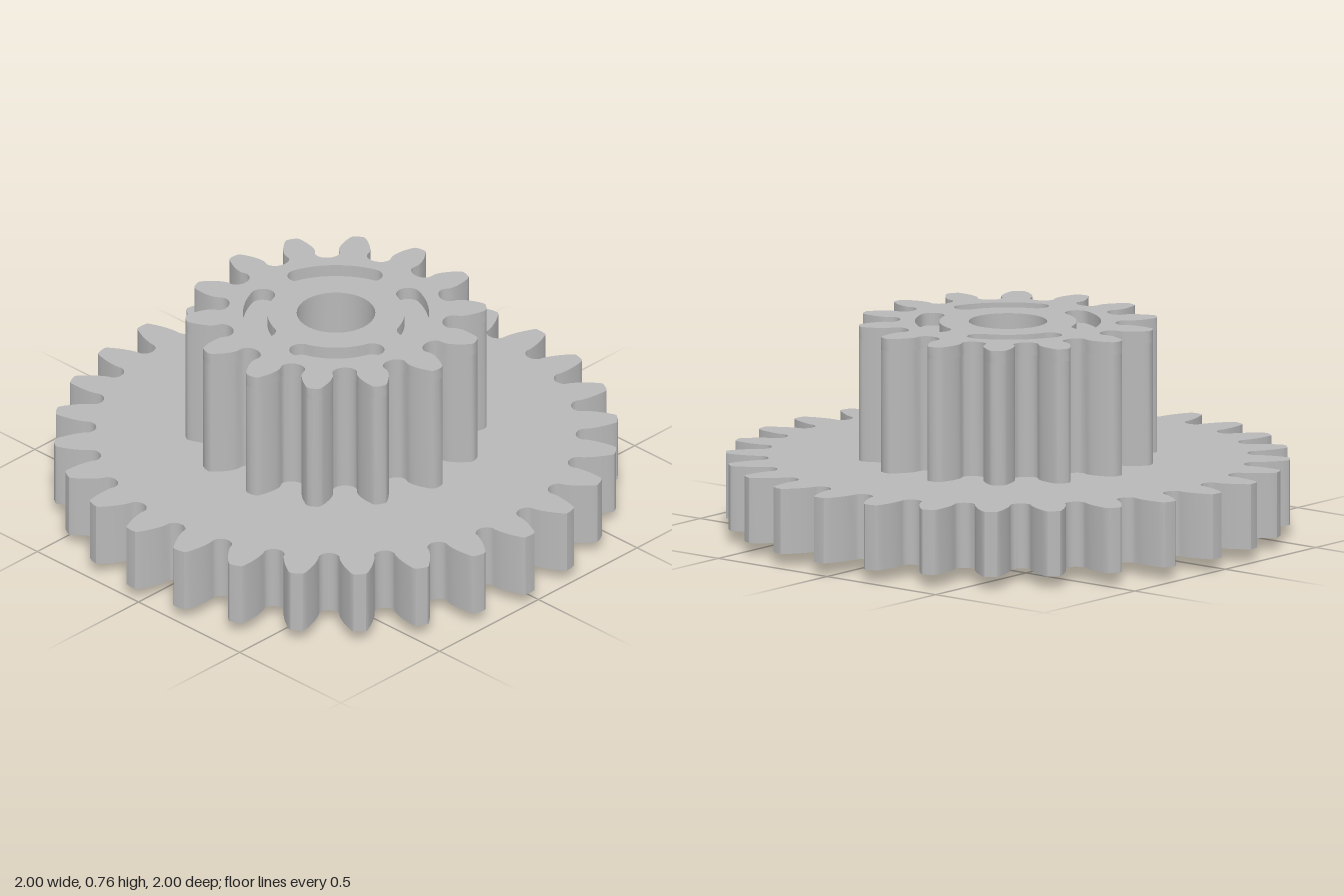
import * as THREE from 'three';
import { toCreasedNormals } from 'three/addons/utils/BufferGeometryUtils.js';

const MODULE = 1 / 15; // tooth module shared by both gears
const BORE = 0.139;
const rad = THREE.MathUtils.degToRad;

// Half of one tooth, from the tip down to the middle of the valley, as [radius, angle]
function halfTooth(teeth) {
  const pitch = MODULE * teeth / 2, tip = pitch + MODULE, root = pitch - 1.28 * MODULE;
  const base = pitch * Math.cos(rad(20));
  const inv = a => Math.tan(a) - a;
  const half = r => Math.PI / (2 * teeth) + inv(rad(20)) - inv(Math.acos(Math.min(1, base / r)));
  const pts = [[tip, 0], [tip - 0.002, half(tip) * 0.9]];
  for (let i = 0; i <= 6; i++) {
    const r = tip - 0.008 + (base - tip + 0.008) * i / 6;
    pts.push([r, half(r)]);
  }
  // rounded valley
  const depth = 0.034, mid = Math.PI / teeth;
  const valley = mid - half(base) * (teeth < 20 ? 0.93 : 0.97);
  for (let i = 0; i <= 6; i++) {
    const t = i / 6 * Math.PI / 2;
    pts.push([root + depth * (1 - Math.sin(t)), mid - valley * Math.cos(t)]);
  }
  return pts;
}

// Full gear outline with the bore cut out
function gearShape(teeth, phase) {
  const side = halfTooth(teeth), outline = [];
  const add = (r, a) => outline.push(new THREE.Vector2(r * Math.cos(a), r * Math.sin(a)));
  for (let i = 0; i < teeth; i++) {
    const c = phase + i * 2 * Math.PI / teeth;
    for (let k = side.length - 2; k > 0; k--) add(side[k][0], c - side[k][1]);
    for (const [r, a] of side) add(r, c + a);
  }
  // the tip point belongs between the two flanks, so drop its repeat order
  const shape = new THREE.Shape(outline);
  shape.holes.push(new THREE.Path().absarc(0, 0, BORE, 0, Math.PI * 2, true));
  return shape;
}

// Curved slot with round ends
function slotPath(mid, span, radius, w) {
  const a0 = mid - span, a1 = mid + span;
  const p = new THREE.Path();
  p.absarc(0, 0, radius + w, a0, a1, false);
  p.absarc(radius * Math.cos(a1), radius * Math.sin(a1), w, a1, a1 + Math.PI, false);
  p.absarc(0, 0, radius - w, a1, a0, true);
  p.absarc(radius * Math.cos(a0), radius * Math.sin(a0), w, a0 + Math.PI, a0 + 2 * Math.PI, false);
  return p;
}

export function createModel() {
  const group = new THREE.Group();
  group.name = 'doubleGear';
  const grey = new THREE.MeshStandardMaterial({ color: 0xb8b8b8 });
  grey.name = 'grey plastic';

  const add = (name, geometry) => {
    const mesh = new THREE.Mesh(toCreasedNormals(geometry, 0.6), grey);
    mesh.name = name;
    group.add(mesh);
  };
  const slab = (name, shape, y0, y1) => {
    const g = new THREE.ExtrudeGeometry(shape, { depth: y1 - y0, bevelEnabled: false, curveSegments: 32 });
    g.rotateX(-Math.PI / 2);
    g.translate(0, y0, 0);
    add(name, g);
  };

  // Wide gear
  slab('largeGear', gearShape(28, rad(87.7)), 0.045, 0.28);

  // Tall pinion, its top layer pierced by four shallow slots
  slab('pinionBody', gearShape(14, rad(100)), 0.28, 0.72);
  const top = gearShape(14, rad(100));
  for (let i = 0; i < 4; i++) top.holes.push(slotPath(rad(45 + 90 * i), rad(26), 0.286, 0.043));
  slab('pinionTop', top, 0.72, 0.765);

  // Tapered hub underneath
  const hub = [[BORE, 0.045], [BORE, 0], [0.215, 0], [0.26, 0.045]].map(p => new THREE.Vector2(...p));
  add('hub', new THREE.LatheGeometry(hub, 64));

  return group;
}
